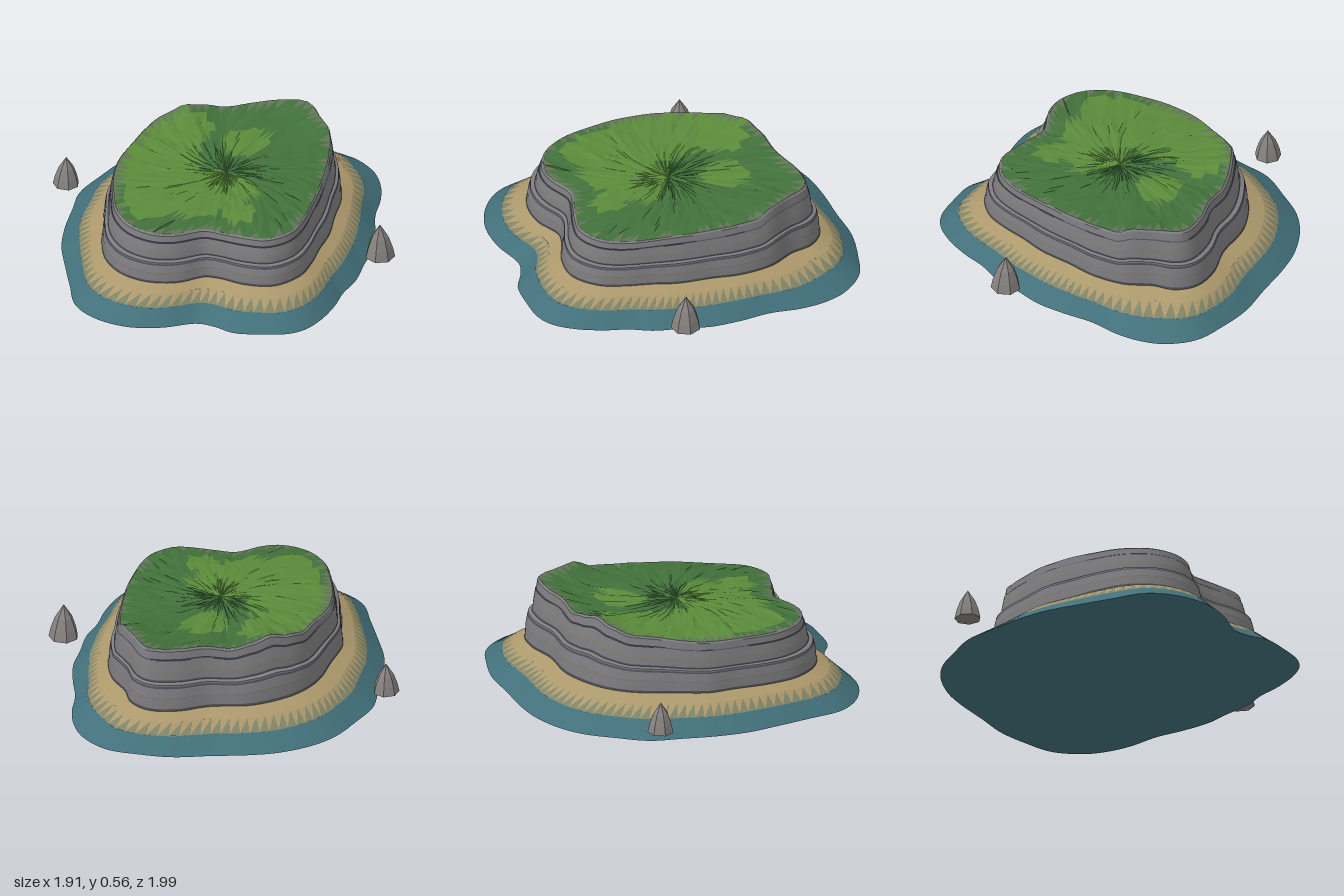
import * as THREE from 'three';

const SHORE = [[-.085, -1], [.085, -.985], [.3, -.94], [.51, -.9], [.69, -.82], [.85, -.72], [.94, -.56], [.955, -.42], [.93, -.27],
  [.87, -.11], [.835, .08], [.79, .24], [.72, .37], [.64, .53], [.55, .64], [.48, .76], [.375, .89], [.27, .97], [.165, .995],
  [.03, .975], [-.13, .93], [-.22, .85], [-.31, .8], [-.52, .805], [-.71, .76], [-.87, .64], [-.95, .49], [-.945, .29],
  [-.935, .08], [-.92, -.11], [-.87, -.29], [-.79, -.48], [-.72, -.64], [-.58, -.78], [-.44, -.9], [-.285, -.97]];
const FOOT = [[0, -.73], [.24, -.685], [.43, -.69], [.58, -.64], [.655, -.53], [.655, -.4], [.69, -.24], [.665, -.05], [.6, .11],
  [.535, .29], [.455, .425], [.385, .56], [.3, .675], [.14, .75], [-.02, .71], [-.15, .62], [-.23, .59], [-.39, .62],
  [-.55, .585], [-.68, .48], [-.745, .32], [-.735, .13], [-.69, -.05], [-.655, -.21], [-.55, -.37], [-.42, -.56], [-.26, -.675]];
const RIM = [[-.13, -.61], [.03, -.63], [.24, -.6], [.4, -.6], [.56, -.55], [.6, -.4], [.63, -.24], [.59, -.05], [.535, .11],
  [.465, .27], [.4, .4], [.32, .53], [.23, .62], [.095, .655], [-.02, .61], [-.13, .55], [-.22, .505], [-.39, .53],
  [-.5, .505], [-.615, .4], [-.665, .24], [-.655, .08], [-.62, -.11], [-.55, -.27], [-.445, -.4], [-.31, -.55]];
// plateau edge height by angle in degrees
const HEIGHTS = [[-170, .47], [-125, .5], [-112, .53], [-102, .56], [-92, .535], [-81, .51], [-65, .535], [-45, .54], [-24, .54],
  [-15, .49], [0, .48], [22, .47], [61, .445], [90, .45], [150, .46]];

// periodic lookup in a table of [angle, value]
function lookup(table, period, ease = (t) => t) {
  const n = table.length;
  return (a) => {
    let i = table.findIndex((p) => p[0] > a);
    if (i < 0) i = n;
    const lo = i ? table[i - 1] : [table[n - 1][0] - period, table[n - 1][1]];
    const hi = i < n ? table[i] : [table[0][0] + period, table[0][1]];
    return lo[1] + (hi[1] - lo[1]) * ease((a - lo[0]) / (hi[0] - lo[0] || 1));
  };
}
// closed smooth outline turned into radius by angle
function outline(points) {
  const curve = new THREE.CatmullRomCurve3(points.map(([x, z]) => new THREE.Vector3(x, 0, z)), true);
  const table = curve.getPoints(360).slice(0, -1).map((p) => [Math.atan2(p.z, p.x), Math.hypot(p.x, p.z)]);
  return lookup(table.sort((p, q) => p[0] - q[0]), Math.PI * 2);
}
const wrap = (a) => Math.atan2(Math.sin(a), Math.cos(a));
const shore = outline(SHORE), foot = outline(FOOT), rim = outline(RIM);
const heightDeg = lookup(HEIGHTS, 360, (t) => t * t * (3 - 2 * t));
const height = (a) => heightDeg(a * 180 / Math.PI);
const hash = (a, b) => { const s = Math.sin(a * 127.1 + b * 311.7) * 43758.5453; return s - Math.floor(s); };
const mix = THREE.MathUtils.lerp;

// skin over rings (outer/lower first); ring(a, i) gives [radius, y, angle shift]
function skin(rings, n, keep, flat) {
  const pos = [], index = [];
  rings.forEach((ring) => {
    for (let i = 0; i < n; i++) {
      const a = wrap((i / n) * Math.PI * 2);
      const [r, y, shift = 0] = ring(a, i);
      pos.push(Math.cos(a + shift) * r, y, Math.sin(a + shift) * r);
    }
  });
  for (let k = 0; k < rings.length - 1; k++) for (let i = 0; i < n; i++) {
    const j = (i + 1) % n, A = k * n + i, B = k * n + j, C = A + n, D = B + n;
    [[A, C, B], [B, C, D]].forEach((tri, half) => {
      const mid = (c) => tri.reduce((s, v) => s + pos[v * 3 + c] / 3, 0);
      if (!keep || keep(half, k, i, mid(0), mid(2))) index.push(...tri);
    });
  }
  let geo = new THREE.BufferGeometry();
  geo.setAttribute('position', new THREE.Float32BufferAttribute(pos, 3));
  geo.setIndex(index);
  if (flat) geo = geo.toNonIndexed();
  geo.computeVertexNormals();
  return geo;
}

export function createModel() {
  const model = new THREE.Group();
  const add = (name, geo, color, parent = model, flatShading = false) => {
    const mesh = new THREE.Mesh(geo, new THREE.MeshStandardMaterial({ color, flatShading }));
    mesh.name = name;
    parent.add(mesh);
    return mesh;
  };
  const TEAL = 0x42707a, SAND = 0xac986c, STONE = 0x7d7d81, DARK = 0x4c4c50, BROWN = 0x857a6c;

  // sloping beach, from shore outline to cliff foot
  const beach = (t, y) => (a) => [mix(shore(a), foot(a), t), y];
  add('seabed', skin([() => [0.001, 0], beach(0, .02)], 180), TEAL);
  add('shallows', skin([beach(0, .02), beach(.42, .1)], 180), TEAL);
  const wash = [beach(.42, .1), beach(.7, .155)];
  add('wetSandTeeth', skin(wash, 100, (half) => half === 0), 0x7f8468);
  add('drySandTeeth', skin(wash, 100, (half) => half === 1), SAND);
  add('sand', skin([beach(.7, .155), beach(1.03, .19)], 180), SAND);

  // layered cliff: [height fraction, inset fraction, colour of the layer above]
  const cliff = new THREE.Group();
  cliff.name = 'cliff';
  model.add(cliff);
  const layers = [[-.02, 0, DARK], [.03, .05, STONE], [.2, .1, BROWN], [.225, .1, STONE], [.38, .2, DARK], [.41, .25, STONE],
    [.44, .25, STONE], [.46, .5, DARK], [.485, .55, STONE], [.62, .6, BROWN], [.65, .62, STONE], [.82, .74, DARK], [.835, .8, STONE],
    [.97, .88, STONE], [1, 1, STONE]];
  const ledge = ([f, w]) => (a) => [mix(foot(a), rim(a), w), mix(.19, height(a), f)];
  for (let i = 0; i < layers.length - 1; i++) {
    add('cliffLayer' + (i + 1), skin([ledge(layers[i]), ledge(layers[i + 1])], 180), layers[i][2], cliff);
  }

  // faceted grass plateau, split into light, dark and stony facets
  const steps = [1, .9, .78, .65, .52, .39, .26, .13, .001];
  const n = 90;
  const grassRings = steps.map((s, k) => (a, i) => {
    const inner = k > 0 && k < steps.length - 1;
    const bump = inner ? (hash(i, k) - .5) * .012 : 0;
    const r = rim(a) * (s + (inner ? (hash(k, i + 9) - .5) * .05 : 0));
    return [r, mix(.482, height(a), s ** 3) + bump, inner ? (hash(i + 3, k) - .5) * .04 : 0];
  });
  const patches = [[-.4, -.2, .3, .28], [-.25, -.45, .24, .17], [-.2, .17, .36, .21], [.17, -.28, .14, .12], [-.5, .2, .13, .2], [0, .42, .1, .08]];
  const kind = (half, k, i, x, z) => {
    if (k === 0 && half === 0 && hash(i, 5) > .35) return 'stony';
    const wobble = .8 + .4 * hash(Math.floor(x * 9), Math.floor(z * 9));
    return patches.some(([px, pz, rx, rz]) => ((x - px) / rx) ** 2 + ((z - pz) / rz) ** 2 < wobble) ? 'light' : 'dark';
  };
  const grass = new THREE.Group();
  grass.name = 'grass';
  model.add(grass);
  Object.entries({ light: 0x5a8a3a, dark: 0x41703a, stony: 0x5f7355 }).forEach(([type, color]) => {
    add(type + 'Grass', skin(grassRings, n, (...f) => kind(...f) === type, true), color, grass, true);
  });

  // pointed sea rocks
  [['rightRock', -.8, -.62, .075, .1, .28], ['leftRock', .8, .42, .085, .1, .31]].forEach(([name, x, z, r, y0, y1], k) => {
    const h = y1 - y0;
    const profile = [[0, 0], [r, .02 * h], [r * .85, .3 * h], [r * .58, .62 * h], [0, h]].map((p) => new THREE.Vector2(...p));
    const rock = add(name, new THREE.LatheGeometry(profile, 7), 0x85827f, model, true);
    rock.position.set(x, y0, z);
    rock.rotation.y = k * .4;
  });
  return model;
}
